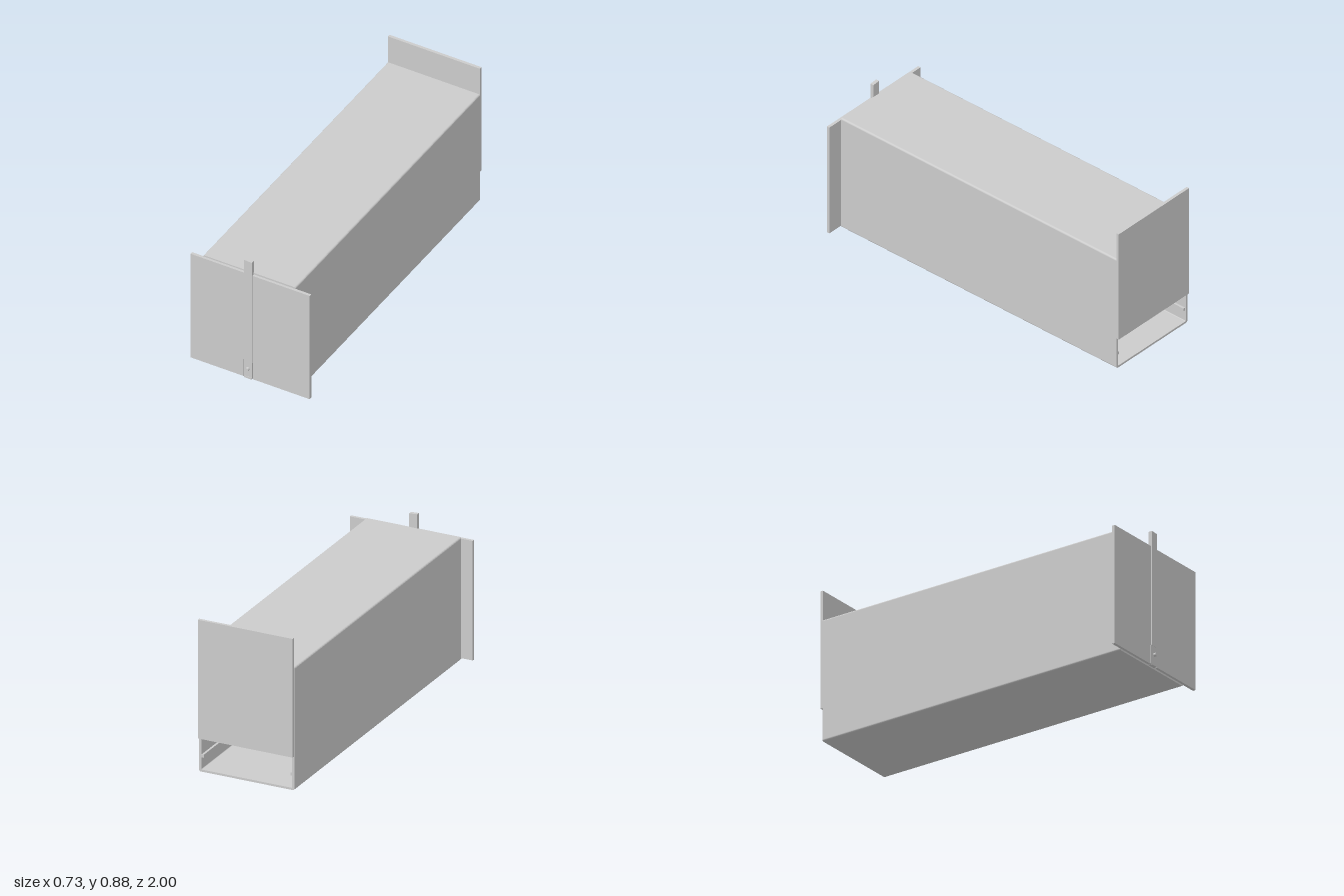
import * as THREE from 'three';

const grey = new THREE.MeshStandardMaterial({ color: 0xcccccc, flatShading: true });

// rounded rectangle outline, traced into a Shape or a hole Path
function roundRect(path, x0, x1, y0, y1, r) {
  path.moveTo(x0 + r, y0);
  path.lineTo(x1 - r, y0);
  path.absarc(x1 - r, y0 + r, r, -Math.PI / 2, 0);
  path.lineTo(x1, y1 - r);
  path.absarc(x1 - r, y1 - r, r, 0, Math.PI / 2);
  path.lineTo(x0 + r, y1);
  path.absarc(x0 + r, y1 - r, r, Math.PI / 2, Math.PI);
  path.lineTo(x0, y0 + r);
  path.absarc(x0 + r, y0 + r, r, Math.PI, Math.PI * 1.5);
  return path;
}

function polygon(points) {
  return new THREE.Shape(points.map(([x, y]) => new THREE.Vector2(x, y)));
}

export function createModel() {
  const model = new THREE.Group();
  model.name = 'boxWithSlidingDoors';

  const add = (name, geometry, parent = model) => {
    const mesh = new THREE.Mesh(geometry, grey);
    mesh.name = name;
    parent.add(mesh);
    return mesh;
  };
  // extrude an x-y outline between two depths
  const slab = (name, shape, z0, z1, parent) => {
    const g = new THREE.ExtrudeGeometry(shape, { depth: z1 - z0, bevelEnabled: false, curveSegments: 4 });
    g.translate(0, 0, z0);
    return add(name, g, parent);
  };
  const rect = (x0, x1, y0, y1) => polygon([[x0, y0], [x1, y0], [x1, y1], [x0, y1]]);

  // folded sheet tube, open at both ends
  const body = roundRect(new THREE.Shape(), -0.298, 0.27, 0, 0.71, 0.01);
  body.holes.push(roundRect(new THREE.Path(), -0.285, 0.257, 0.012, 0.698, 0.004));
  slab('body', body, -0.985, 0.968);

  // inner rails along both side walls
  slab('rightRail', rect(-0.286, -0.272, 0.08, 0.098), -0.98, 0.968);
  slab('leftRail', rect(0.244, 0.258, 0.08, 0.098), -0.98, 0.968);

  // raised rear door
  slab('rearDoor', rect(-0.295, 0.27, 0.195, 0.882), -1, -0.983);

  // front flange plates with a slot between them, wider beside the latch foot
  slab('rightFrontPlate', polygon([
    [-0.367, 0.01], [-0.043, 0.01], [-0.043, 0.118], [-0.039, 0.126], [-0.039, 0.702], [-0.367, 0.702],
  ]), 0.966, 0.983);
  slab('leftFrontPlate', polygon([
    [0.017, 0.01], [0.365, 0.01], [0.365, 0.7], [0.014, 0.7], [0.014, 0.126], [0.017, 0.118],
  ]), 0.966, 0.983);

  // latch: upright bar, rounded foot, lower tab and pivot button
  const latch = new THREE.Group();
  latch.name = 'latch';
  model.add(latch);
  slab('latchBar', polygon([[-0.036, 0.122], [0.012, 0.122], [0.012, 0.788], [-0.036, 0.791]]), 0.966, 0.987, latch);
  slab('latchFoot', roundRect(new THREE.Shape(), -0.041, 0.013, 0.01, 0.125, 0.008), 0.968, 0.986, latch);
  slab('latchTab', roundRect(new THREE.Shape(), -0.036, 0.012, 0.008, 0.02, 0.004), 0.964, 0.988, latch);
  const button = add('pivotButton', new THREE.CylinderGeometry(0.009, 0.013, 0.034, 20), latch);
  button.rotation.x = Math.PI / 2;
  button.position.set(-0.012, 0.073, 0.983);

  return model;
}
